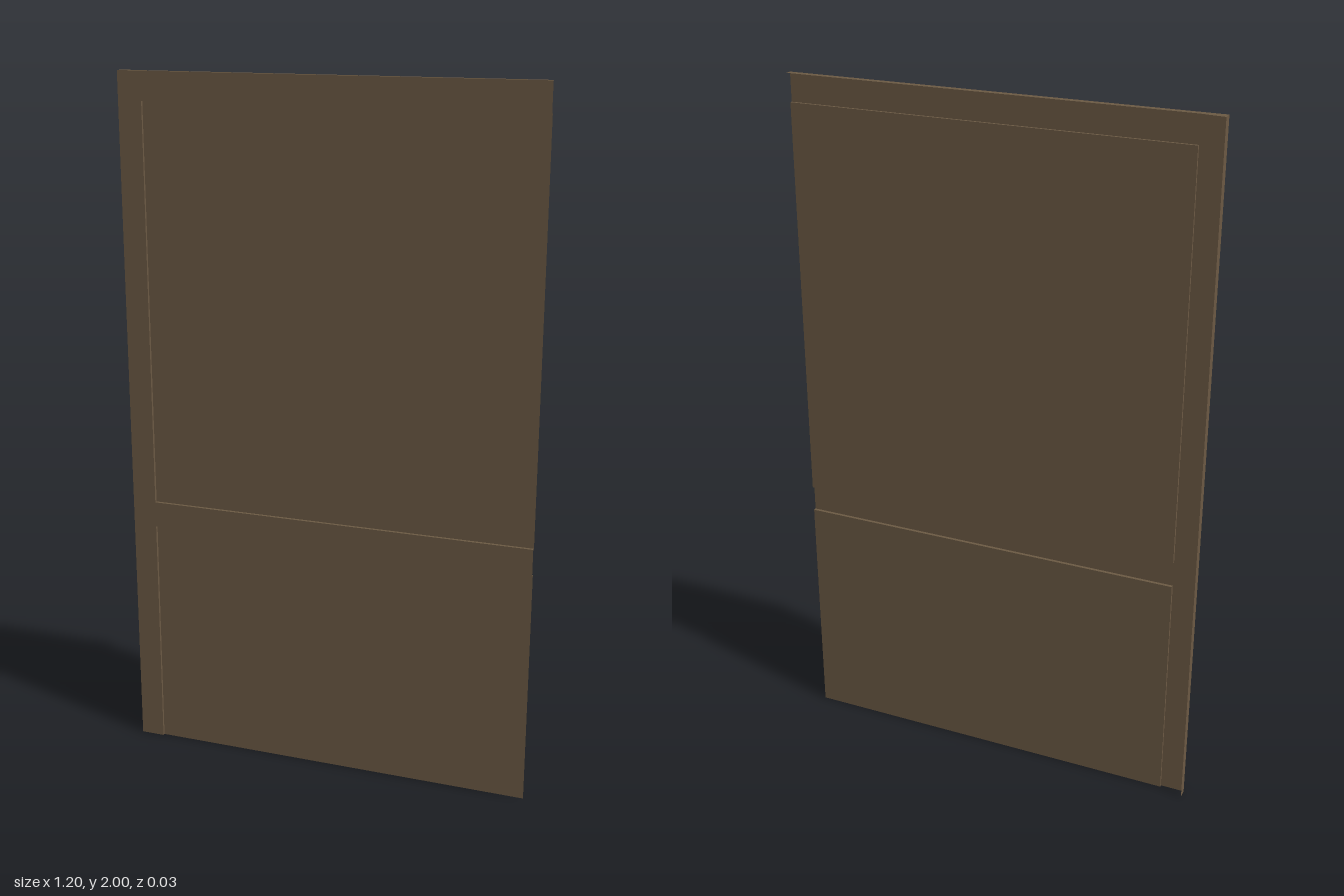
import * as THREE from 'three';

const LEFT = -0.6, RIGHT = 0.6, INNER = -0.53, TOP = 2;
const FACE = 0.013, BACK = -0.013, LIP = -0.005;

export function createModel() {
  const model = new THREE.Group();
  model.name = 'pressedWallPanel';
  const brown = new THREE.MeshStandardMaterial({ color: 0x6c5a44, side: THREE.DoubleSide });
  brown.name = 'brown';

  // flat polygon from its corners, fanned into triangles
  const face = (name, corners, parent = model) => {
    const points = [];
    for (let i = 1; i < corners.length - 1; i++) points.push(...corners[0], ...corners[i], ...corners[i + 1]);
    const geometry = new THREE.BufferGeometry();
    geometry.setAttribute('position', new THREE.Float32BufferAttribute(points, 3));
    geometry.computeVertexNormals();
    const mesh = new THREE.Mesh(geometry, brown);
    mesh.name = name;
    parent.add(mesh);
  };
  const frontRect = (name, x0, x1, y0, y1) =>
    face(name, [[x0, y0, FACE], [x1, y0, FACE], [x1, y1, FACE], [x0, y1, FACE]]);

  // raised frame
  frontRect('stile', LEFT, INNER, 0, TOP);
  frontRect('topRail', INNER, RIGHT, 1.92, TOP);
  frontRect('middleRail', INNER, RIGHT, 0.687, 0.763);

  // recessed panels, slightly deeper towards the middle rail, with stepped edges
  const recess = (name, y0, y1, z0, z1, openBottom) => {
    const panel = new THREE.Group();
    panel.name = name;
    model.add(panel);
    face('recessedSheet', [[INNER, y0, z0], [RIGHT, y0, z0], [RIGHT, y1, z1], [INNER, y1, z1]], panel);
    face('sideStep', [[INNER, y0, FACE], [INNER, y0, z0], [INNER, y1, z1], [INNER, y1, FACE]], panel);
    face('topStep', [[INNER, y1, FACE], [INNER, y1, z1], [RIGHT, y1, z1], [RIGHT, y1, FACE]], panel);
    if (!openBottom)
      face('bottomStep', [[INNER, y0, FACE], [RIGHT, y0, FACE], [RIGHT, y0, z0], [INNER, y0, z0]], panel);
  };
  recess('upperPanel', 0.763, 1.92, 0.004, 0.006, false);
  recess('lowerPanel', 0, 0.687, 0.006, 0.004, true);

  // flanges folded back along the side and the top
  face('sideFlange', [[LEFT, 0, BACK], [LEFT, 0, FACE], [LEFT, TOP, FACE], [LEFT, TOP, BACK]]);
  face('topFlange', [[INNER, TOP, LIP], [LEFT, TOP, BACK], [LEFT, TOP, FACE], [RIGHT, TOP, FACE], [RIGHT, TOP, LIP]]);

  return model;
}
